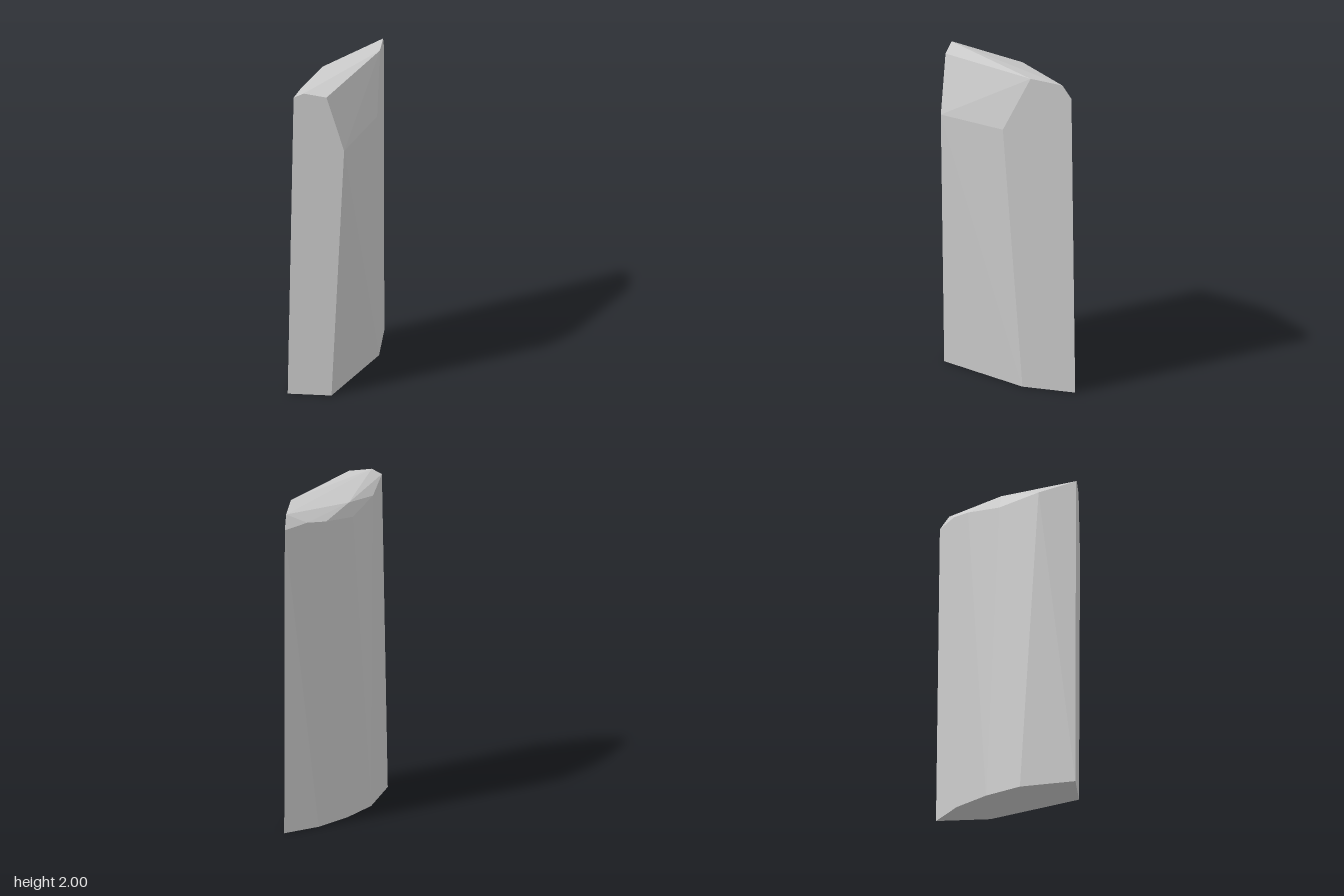
import * as THREE from 'three';
import { ConvexGeometry } from 'three/addons/geometries/ConvexGeometry.js';

export function createModel() {
  const group = new THREE.Group();
  group.name = 'stoneSlab';
  const material = new THREE.MeshStandardMaterial({ color: 0xcccccc, flatShading: true });

  // Footprint: straight front and side, curved back
  const foot = [
    [-0.245, 0, 0.433], [-0.195, 0, 0.1], [-0.085, 0, -0.11], [0.06, 0, -0.295],
    [0.245, 0, -0.433], [0.245, 0, -0.11], [0.015, 0, 0.433],
  ];
  // Shoulder where the curved back meets the chipped top
  const shoulder = [
    [-0.21, 1.97, 0.433], [-0.19, 1.915, 0.21], [-0.105, 1.865, -0.03],
    [0.025, 1.9, -0.225], [0.125, 1.92, -0.315], [0.245, 1.9, -0.41],
  ];
  // Lower edge of the large front bevel
  const bevel = [[0.09, 1.63, 0.433], [0.245, 1.65, 0.01]];
  // Top surface
  const crown = [
    [-0.15, 2, 0.433], [-0.015, 1.98, 0.433], [0.245, 2, -0.16],
    [0.245, 1.98, -0.355], [-0.08, 1.95, -0.02],
  ];

  // The faceted stone is the convex skin around these rings
  const points = [...foot, ...shoulder, ...bevel, ...crown].map((p) => new THREE.Vector3(...p));
  const slab = new THREE.Mesh(new ConvexGeometry(points), material);
  slab.name = 'slab';
  group.add(slab);
  return group;
}
